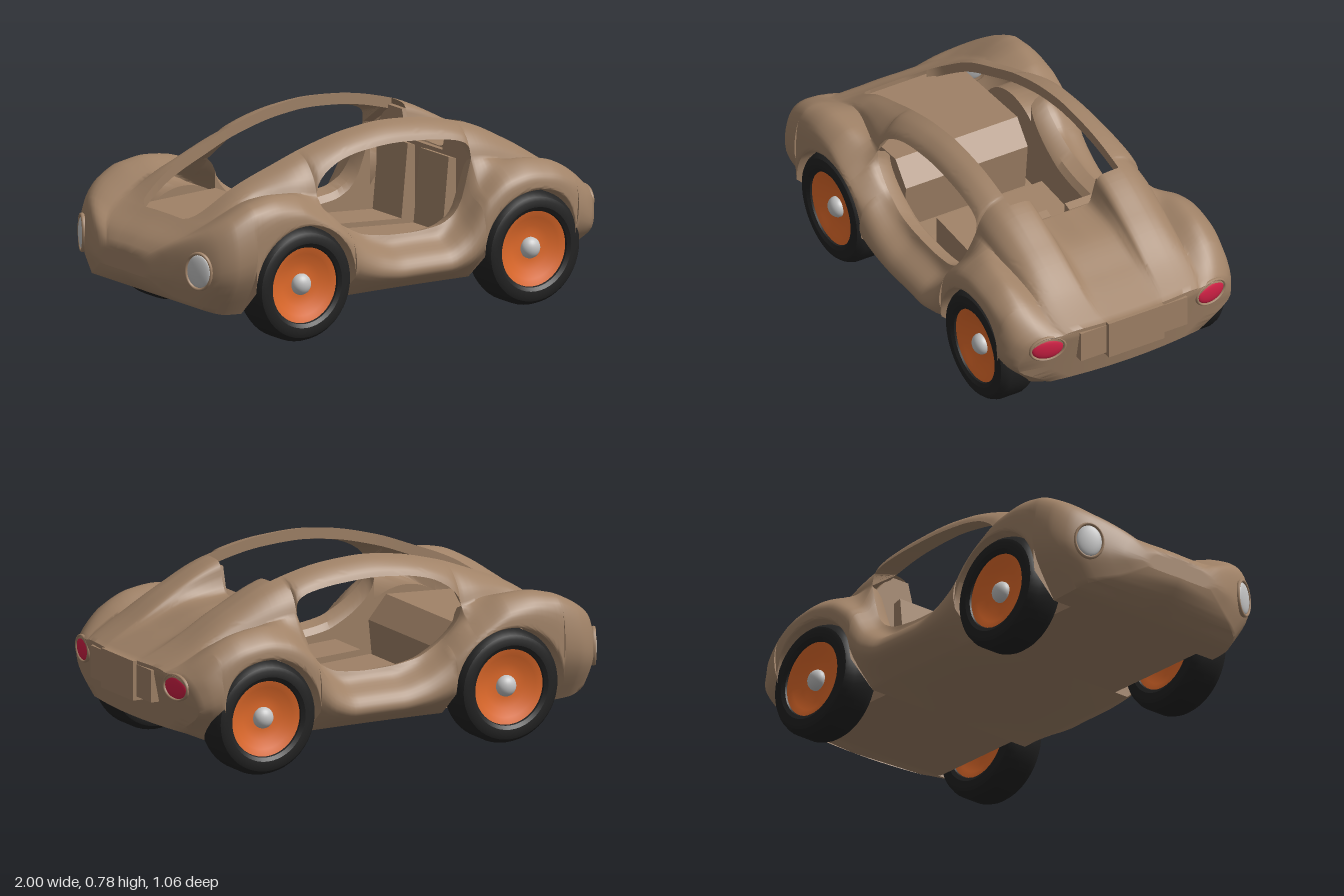
import * as THREE from 'three';
import { mergeGeometries, toCreasedNormals } from 'three/addons/utils/BufferGeometryUtils.js';

const mat = (name, color) => new THREE.MeshStandardMaterial({ name, color, side: THREE.DoubleSide });

// Smooth curve y(x) through points, without overshoot
function curve(...p) {
  const n = p.length - 1;
  const d = i => (p[i + 1][1] - p[i][1]) / (p[i + 1][0] - p[i][0]);
  const m = p.map((_, i) => {
    if (i === 0) return d(0);
    if (i === n) return d(n - 1);
    const a = d(i - 1), b = d(i);
    return a * b > 0 ? 2 * a * b / (a + b) : 0;
  });
  return x => {
    if (x <= p[0][0]) return p[0][1];
    if (x >= p[n][0]) return p[n][1];
    let i = 0;
    while (x > p[i + 1][0]) i++;
    const h = p[i + 1][0] - p[i][0], t = (x - p[i][0]) / h, u = 1 - t;
    return p[i][1] * (1 + 2 * t) * u * u + m[i] * h * t * u * u
      + p[i + 1][1] * t * t * (3 - 2 * t) - m[i + 1] * h * t * t * u;
  };
}

// Body lines along the length (nose at -x)
const halfWidth = curve([-1, .2], [-.97, .29], [-.93, .385], [-.88, .47], [-.8, .515], [-.7, .525], [0, .51], [.6, .525], [.85, .52], [.93, .51], [.985, .48]);
const bottom = curve([-1, .26], [-.96, .2], [-.9, .165], [-.8, .135], [-.7, .13], [.8, .13], [.88, .145], [.985, .18]);
const tuck = curve([-1, .04], [-.8, .1], [-.5, .12], [.6, .12], [.87, .13], [.985, .14]);
const fender = curve([-1, .32], [-.97, .385], [-.9, .46], [-.8, .53], [-.7, .575], [-.6, .592], [-.5, .582], [-.4, .535], [-.3, .47], [-.2, .38], [-.1, .33], [0, .31], [.2, .31], [.3, .36], [.4, .5], [.5, .565], [.6, .583], [.7, .57], [.8, .535], [.9, .48], [.985, .41]);
const belt = curve([-1, .335], [-.95, .39], [-.9, .425], [-.8, .48], [-.6, .56], [-.45, .57], [-.34, .55], [.4, .6], [.6, .565], [.8, .505], [.985, .42]);
const beltInset = curve([-1, .72], [-.8, .74], [-.6, .82], [-.34, 1], [.4, 1], [.8, .88], [.985, .85]);
const rail = curve([-1, .34], [-.95, .39], [-.85, .445], [-.8, .475], [-.62, .59], [-.45, .66], [-.3, .715], [-.1, .762], [.05, .776], [.2, .768], [.45, .715], [.65, .62], [.85, .5], [.985, .43]);
const railZ = curve([-1, .13], [-.81, .13], [-.8, .16], [-.77, .183], [-.7, .2], [-.5, .222], [-.3, .24], [0, .25], [.985, .245]);
const deckMid = curve([.45, .59], [.6, .575], [.8, .505], [.985, .43]);
const winLow = curve([-.34, .55], [-.33, .515], [-.28, .455], [-.2, .4], [-.12, .365], [0, .348], [.1, .345], [.22, .355], [.3, .39], [.345, .45], [.375, .53], [.4, .6]);
const winHigh = curve([-.34, .55], [-.33, .585], [-.29, .63], [-.2, .675], [-.1, .695], [.05, .705], [.2, .698], [.33, .68], [.38, .66], [.395, .64], [.4, .6]);

const WHEELS = [-.485, .61], ARCH = .24;
const inWindow = x => x > -.34 && x < .4;
const sillY = x => inWindow(x) ? winLow(x) : belt(x);
const headY = x => inWindow(x) ? winHigh(x) : belt(x);
const scale = x => halfWidth(x) / .52;
const sideZ = (x, y) => (.405 - (y - .35) * .12) * scale(x) * beltInset(x);

function stations() {
  const s = [-.81, .45, -.34, -.338, -.335, -.33, .39, .395, .398, .4];
  for (let i = 0; i <= 90; i++) s.push(-1 + 1.985 * i / 90);
  for (const c of WHEELS) {
    s.push(c - ARCH - 1e-4, c + ARCH + 1e-4);
    for (let i = 0; i <= 20; i++) s.push(c - ARCH * Math.cos(Math.PI * i / 20));
  }
  return s.sort((a, b) => a - b).filter((x, i, a) => !i || x - a[i - 1] > 5e-5);
}
const XS = stations();
const range = (a, b) => XS.filter(x => x > a - 1e-6 && x < b + 1e-6);

// Smoothed [z, y] section
const smooth = (pts, n) => new THREE.SplineCurve(pts.map(p => new THREE.Vector2(...p))).getPoints(n).map(v => [v.x, v.y]);

// Round the tail in plan and rake it inward toward the bottom
function place(x, z, y) {
  const k = THREE.MathUtils.smoothstep(x, .7, .985);
  const rake = THREE.MathUtils.clamp((.4 - y) / .22, 0, 1);
  return [x - k * (.24 * z * z + .045 * rake), y, z];
}

// Skin over rows of points, made on both sides of the car
function skin(rows) {
  const pos = [];
  for (const s of [1, -1]) {
    const tri = (...t) => (s > 0 ? t : t.reverse()).forEach(p => pos.push(p[0], p[1], p[2] * s));
    for (let i = 0; i + 1 < rows.length; i++) for (let j = 0; j + 1 < rows[i].length; j++) {
      const a = rows[i][j], b = rows[i + 1][j], c = rows[i + 1][j + 1], d = rows[i][j + 1];
      tri(a, b, c);
      tri(a, c, d);
    }
  }
  const g = new THREE.BufferGeometry();
  g.setAttribute('position', new THREE.Float32BufferAttribute(pos, 3));
  return g;
}
const loft = (xs, section) => skin(xs.map(x => section(x).map(([z, y]) => place(x, z, y))));

function archY(x) {
  const c = WHEELS.find(w => Math.abs(x - w) <= ARCH + 1e-6);
  return c === undefined ? null : .23 + Math.sqrt(Math.max(0, ARCH * ARCH - (x - c) ** 2));
}
// Underside, with wheel wells
function underside(x) {
  const a = archY(x), yb = bottom(x), z = halfWidth(x) - (a === null ? tuck(x) : .005);
  const y = a ?? yb, u = a === null ? z : .33;
  return [[0, yb], [u, yb], [u, y], [z, y]];
}
// Side and fender, up to the belt or window sill
function side(x) {
  const [z0, y0] = underside(x)[3], w = halfWidth(x), f = fender(x), k = scale(x), sy = sillY(x), yb = bottom(x);
  const y2 = f - Math.min(.05, (f - yb) * .3);
  const y1 = Math.max(yb + (y2 - yb) * .5, y0 + (y2 - y0) * .2);
  return smooth([[z0, y0], [w, y1], [w - .015 * k, y2], [w - .09 * k, f], [sideZ(x, sy), sy]], 20);
}
// Roof rail, from the window head to the cockpit edge
function roof(x) {
  const h = headY(x), r = rail(x), k = scale(x), z = sideZ(x, h), zi = railZ(x) * k;
  return smooth([[z, h], [z + (zi - z) * .17, h + (r - h) * .43], [z + (zi - z) * .54, h + (r - h) * .83], [zi, r]], 12);
}
const hood = x => [[railZ(x) * scale(x), rail(x)], [.05 * scale(x), rail(x) + .002], [0, rail(x) + .002]];
function rearDeck(x) {
  const r = rail(x), m = Math.min(deckMid(x), r), k = scale(x);
  return smooth([[railZ(x) * k, r], [.16 * k, r - (r - m) * .08], [.135 * k, m + (r - m) * .4], [.1 * k, m], [0, m]], 16);
}
function endCap(x, top) {
  const pts = [...side(x), ...roof(x), ...top(x)];
  const rows = [1, .75, .5, .25, 0].map(k => pts.map(([z, y]) => place(x, z * k, y)));
  return skin(x < 0 ? rows.reverse() : rows);
}

// Side profile extruded across the car
function across(points, width) {
  const g = new THREE.ExtrudeGeometry(new THREE.Shape(points.map(p => new THREE.Vector2(...p))), { depth: width, bevelEnabled: false });
  return g.translate(0, 0, -width / 2);
}

export function createModel() {
  const body = mat('body brown', 0xa08267), orange = mat('rim orange', 0xe26b2b), black = mat('tyre black', 0x222222);
  const grey = mat('lamp grey', 0xc4c4c4), red = mat('tail lamp red', 0xd02045);
  const car = new THREE.Group();
  car.name = 'car';
  const add = (name, geo, material, parent = car) => {
    const m = new THREE.Mesh(geo, material);
    m.name = name;
    parent.add(m);
    return m;
  };

  // Body shell
  add('bodyShell', toCreasedNormals(mergeGeometries([
    loft(XS, underside), loft(XS, side), loft(XS, roof), loft(range(-1, -.81), hood), loft(range(.45, .985), rearDeck),
    endCap(XS[0], hood), endCap(XS[XS.length - 1], rearDeck),
  ]), .9), body);

  // Inner faces of the rails and doors
  add('railLining', toCreasedNormals(loft(range(-.81, .45), x => {
    const z = railZ(x) * scale(x), h = headY(x);
    return [[z, rail(x)], [z, rail(x) - .045], [sideZ(x, h), h]];
  }), .6), body);
  add('doorLining', toCreasedNormals(loft(range(-.34, .4), x => {
    const y = sillY(x);
    return [[sideZ(x, y), y], [.345, y - .015], [.325, y - .04], [.325, .135]];
  }), .6), body);

  // Cockpit
  add('dashboard', across([[-.83, .16], [-.31, .16], [-.29, .36], [-.37, .455], [-.83, .435]], .56), body);
  const wall = [[.33, .15], [.33, .6], [.25, .69], [.155, .69], [.125, .58]];
  const bulkhead = across([...wall, ...wall.map(([z, y]) => [-z, y]).reverse()], .02).rotateY(Math.PI / 2);
  add('bulkhead', bulkhead, body).position.x = .445;
  for (const s of [1, -1]) {
    const seat = across([[-.12, .14], [.42, .14], [.42, .57], [.385, .58], [.355, .28], [-.12, .31]], .2);
    add('seat', seat, body).position.z = s * .142;
  }

  // Tail panel and plate
  add('tailPanel', new THREE.BoxGeometry(.07, .13, .49), body).position.set(.948, .35, 0);
  add('tailPlate', new THREE.BoxGeometry(.07, .16, .256), body).position.set(.965, .35, 0);

  // Lamps: flattened domes inside raised rings
  const lamp = (name, material, x, y, z, turn, ry, rz) => {
    const g = new THREE.Group();
    g.name = name;
    g.position.set(x, y, z);
    g.rotation.y = turn;
    add('lens', new THREE.SphereGeometry(1, 32, 16), material, g).scale.set(.014, ry, rz);
    const ring = new THREE.TorusGeometry(1, .09, 10, 40).rotateY(Math.PI / 2);
    add('lampRing', ring, body, g).scale.set(.1, ry * 1.1, rz * 1.1);
    car.add(g);
  };
  for (const s of [1, -1]) {
    lamp('headlamp', grey, -.921, .325, s * .405, s * .45, .066, .052);
    lamp('tailLamp', red, .943, .37, s * .375, -s * .18, .046, .066);
  }

  // Wheels
  const turned = pts => toCreasedNormals(new THREE.LatheGeometry(pts.map(p => new THREE.Vector2(...p)), 48).rotateX(Math.PI / 2), .5);
  const sidewall = [[.15, .062], [.155, .075], [.17, .084], [.195, .085], [.21, .079], [.222, .064], [.23, .042]];
  const tyre = turned([...sidewall.map(([r, y]) => [r, -y]), ...sidewall.slice().reverse()]);
  const rim = turned([[.152, .068], [.125, .06], [.09, .044], [.05, .04], [0, .042]]);
  const cap = new THREE.SphereGeometry(.043, 24, 16).scale(1, 1, .8);
  for (const x of WHEELS) for (const s of [1, -1]) {
    const wheel = new THREE.Group();
    wheel.name = x < 0 ? 'frontWheel' : 'rearWheel';
    wheel.position.set(x, .23, s * .435);
    if (s < 0) wheel.rotation.y = Math.PI;
    add('tyre', tyre, black, wheel);
    add('rim', rim, orange, wheel);
    add('innerRim', rim, orange, wheel).rotation.y = Math.PI;
    add('hubCap', cap, grey, wheel).position.z = .045;
    car.add(wheel);
  }
  return car;
}
